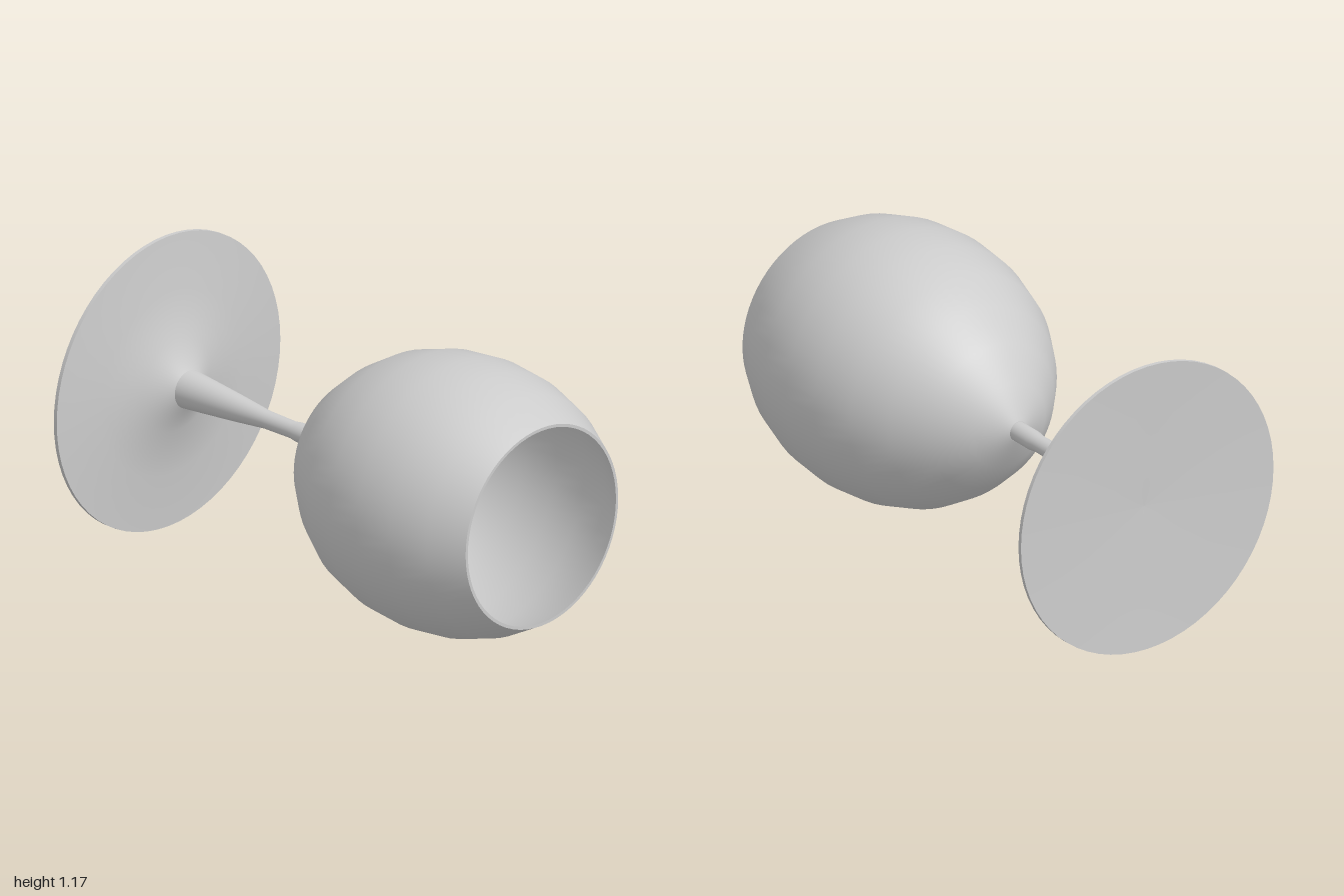
import * as THREE from 'three';

const SEGMENTS = 64;

export function createModel() {
  const group = new THREE.Group();
  group.name = 'wineGlass';
  const material = new THREE.MeshStandardMaterial({ color: 0xcccccc, side: THREE.DoubleSide });

  // Profiles are [radius, position along the axis]; outer walls run from foot to rim.
  const turn = (name, profile) => {
    const points = profile.map(([r, h]) => new THREE.Vector2(r, h));
    const mesh = new THREE.Mesh(new THREE.LatheGeometry(points, SEGMENTS), material);
    mesh.name = name;
    group.add(mesh);
  };

  // Bowl: outer wall, flat lip and inner wall
  const bowl = [
    [0.04, -0.19], [0.17, -0.13], [0.29, -0.025], [0.39, 0.095], [0.47, 0.23],
    [0.518, 0.39], [0.533, 0.55], [0.518, 0.71], [0.472, 0.865], [0.4, 1],
  ];
  const inner = bowl.slice(1).map(([r, h]) => [r - 0.012, h]).reverse();
  turn('bowlOuter', bowl);
  turn('bowlLip', [[0.4, 1], [0.388, 1]]);
  turn('bowlInner', [...inner, [0.06, -0.172], [0, -0.178]]);

  // Stem, widening towards the foot
  turn('stem', [
    [0.075, -0.875], [0.064, -0.75], [0.05, -0.6], [0.035, -0.46],
    [0.033, -0.32], [0.038, -0.29], [0.038, -0.19],
  ]);

  // Foot: slightly hollow underside, thin edge, flared top
  turn('footUnderside', [[0, -0.98], [0.17, -0.986], [0.38, -0.992], [0.586, -1]]);
  turn('footEdge', [[0.586, -1], [0.586, -0.984]]);
  turn('footTop', [[0.586, -0.984], [0.37, -0.968], [0.185, -0.938], [0.075, -0.875]]);

  // Lay the glass on its side with the opening to the front
  group.children.forEach((mesh) => {
    mesh.rotation.x = Math.PI / 2;
    mesh.position.y = 0.586;
  });
  return group;
}
